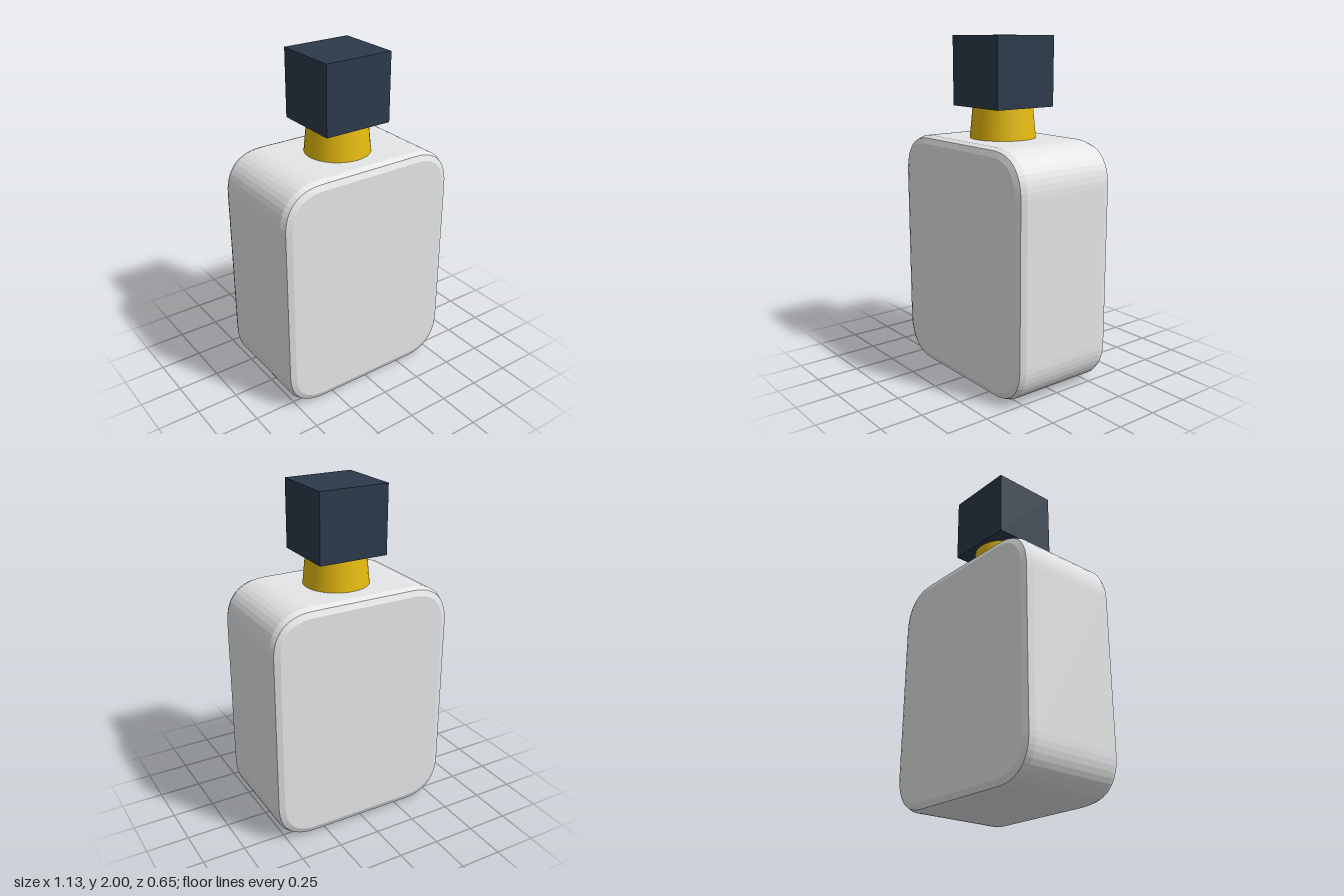
import * as THREE from 'three';

const glass = new THREE.MeshStandardMaterial({ name: 'pale glass', color: 0xeceeef });
const gold = new THREE.MeshStandardMaterial({ name: 'gold', color: 0xf1c40f });
const navy = new THREE.MeshStandardMaterial({ name: 'dark navy', color: 0x2b3a4b });

// Rounded rectangle centred on the origin
function roundedRect(w, h, r) {
  const x = w / 2, y = h / 2;
  return new THREE.Shape()
    .moveTo(-x + r, -y)
    .lineTo(x - r, -y).quadraticCurveTo(x, -y, x, -y + r)
    .lineTo(x, y - r).quadraticCurveTo(x, y, x - r, y)
    .lineTo(-x + r, y).quadraticCurveTo(-x, y, -x, y - r)
    .lineTo(-x, -y + r).quadraticCurveTo(-x, -y, -x + r, -y);
}

export function createModel() {
  const model = new THREE.Group();
  model.name = 'bottle';

  const add = (name, geometry, material, y) => {
    const mesh = new THREE.Mesh(geometry, material);
    mesh.name = name;
    mesh.position.y = y;
    model.add(mesh);
  };

  // Bottle body: rounded slab with softened front and back edges
  const width = 1.13, height = 1.415, depth = 0.655, bevel = 0.047;
  const body = new THREE.ExtrudeGeometry(
    roundedRect(width - 2 * bevel, height - 2 * bevel, 0.2),
    {
      depth: depth - 2 * bevel,
      bevelSize: bevel,
      bevelThickness: bevel,
      bevelSegments: 2,
      curveSegments: 12,
    },
  );
  body.translate(0, 0, -(depth - 2 * bevel) / 2);
  add('body', body, glass, 0.005 + height / 2);

  // Tapered neck, its ends sunk into the body and the cap
  add('neck', new THREE.CylinderGeometry(0.173, 0.196, 0.24, 32), gold, 1.5);

  // Square cap
  add('cap', new THREE.BoxGeometry(0.42, 0.4, 0.4), navy, 1.8);

  // Rest the base exactly on the ground
  model.children[0].scale.y = 1.42 / height;
  model.children[0].position.y = 0.71;
  return model;
}
